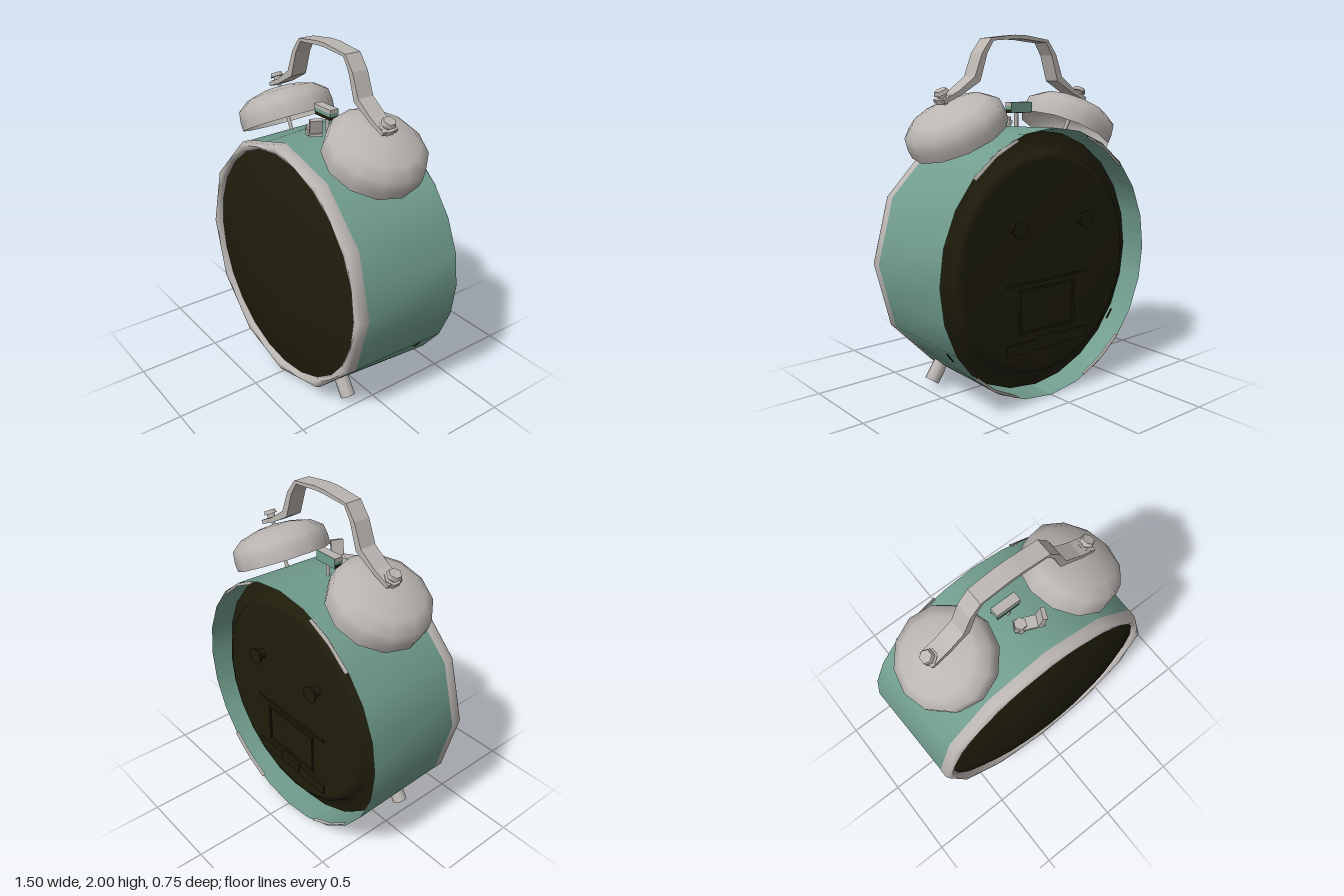
import * as THREE from 'three';

const mat = (name, color) => {
  const m = new THREE.MeshStandardMaterial({ color, side: THREE.DoubleSide });
  m.name = name;
  return m;
};

export function createModel() {
  const silver = mat('silver', 0xbab5b1);
  const teal = mat('teal', 0x719d8e);
  const dark = mat('dark', 0x1f1d0b);
  const CY = 0.755; // height of the case centre
  const root = new THREE.Group();

  const add = (parent, name, geo, material, x = 0, y = 0, z = 0) => {
    const mesh = new THREE.Mesh(geo, material);
    mesh.name = name;
    mesh.position.set(x, y, z);
    parent.add(mesh);
    return mesh;
  };
  const box = (w, h, d) => new THREE.BoxGeometry(w, h, d);
  const lathe = (pts, sides, start = 0, length = Math.PI * 2) =>
    new THREE.LatheGeometry(pts.map(([r, h]) => new THREE.Vector2(r, h)), sides, start, length);

  // Turned parts of the case: profile is [radius, z]. Profile points marked with
  // a third value become twelve-sided by pulling in every second corner.
  const turned = (name, pts, material) => {
    const geo = lathe(pts, 24);
    const pos = geo.attributes.position;
    const k = Math.cos(Math.PI / 12);
    for (let i = 0; i < pos.count; i++) {
      if (Math.floor(i / pts.length) % 2 && pts[i % pts.length][2]) {
        pos.setX(i, pos.getX(i) * k);
        pos.setZ(i, pos.getZ(i) * k);
      }
    }
    geo.rotateX(Math.PI / 2).computeVertexNormals();
    return add(root, name, geo, material, 0, CY, 0);
  };

  // Case, bezel, domed face and recessed back
  turned('case', [[0.752, -0.358], [0.737, 0.25, 1]], teal);
  turned('bezel', [[0.73, 0.225, 1], [0.74, 0.25, 1], [0.738, 0.295, 1], [0.725, 0.317, 1],
    [0.698, 0.317], [0.682, 0.303], [0.678, 0.27]], silver);
  turned('face', [[0.685, 0.284], [0.55, 0.325], [0.4, 0.353], [0.25, 0.37], [0, 0.376]], dark);
  turned('backPlate', [[0, -0.318], [0.58, -0.318], [0.62, -0.3], [0.645, -0.235], [0.732, -0.22]], dark);

  // Four narrow bright lips on the rear edge of the case
  for (const deg of [33, 147, 213, 327]) {
    const arc = lathe([[0.735, -0.35], [0.738, -0.372], [0.75, -0.35]], 2,
      THREE.MathUtils.degToRad(deg - 13), THREE.MathUtils.degToRad(26));
    add(root, 'rearLip', arc.rotateX(Math.PI / 2), silver, 0, CY, 0);
  }

  // Setting knobs and battery door on the back
  for (const s of [-1, 1]) {
    const knob = new THREE.Group();
    knob.name = 'settingKnob';
    knob.position.set(s * 0.245, 0.985, 0);
    add(knob, 'knobStem', new THREE.CylinderGeometry(0.03, 0.022, 0.04, 8).rotateX(Math.PI / 2), dark, 0, 0, -0.333);
    add(knob, 'knobCap', new THREE.CylinderGeometry(0.04, 0.052, 0.025, 8).rotateX(Math.PI / 2), dark, 0, 0, -0.362);
    root.add(knob);
    add(root, 'doorSide', box(0.012, 0.24, 0.016), dark, s * 0.2, 0.51, -0.319);
    add(root, 'doorEdge', box(0.412, 0.012, 0.016), dark, 0, 0.51 + s * 0.12, -0.319);
  }
  add(root, 'backLedgeTop', box(0.6, 0.012, 0.016), dark, 0, 0.67, -0.319);
  add(root, 'backLedgeBottom', box(0.6, 0.06, 0.02), dark, 0, 0.31, -0.319);
  add(root, 'doorLatch', box(0.16, 0.05, 0.03), dark, 0, 0.33, -0.319);

  for (const s of [-1, 1]) {
    // Bell with its post, nut and screw, tilted outwards
    const bell = new THREE.Group();
    bell.name = s > 0 ? 'leftBell' : 'rightBell';
    bell.position.set(s * 0.386 - 0.003, 1.455, -0.038);
    bell.rotation.z = -s * 0.464;
    add(bell, 'bellShell', lathe([[0.278, 0], [0.281, 0.05], [0.272, 0.115], [0.21, 0.163],
      [0.1, 0.192], [0, 0.2]], 12), silver);
    add(bell, 'bellPost', new THREE.CylinderGeometry(0.012, 0.012, 0.32, 6), silver, 0, 0.05, 0);
    add(bell, 'bellNut', new THREE.CylinderGeometry(0.045, 0.045, 0.025, 6), silver, 0, 0.228, 0);
    add(bell, 'bellScrew', new THREE.CylinderGeometry(0.025, 0.025, 0.03, 6), silver, 0, 0.25, 0);
    add(bell, 'screwHead', new THREE.CylinderGeometry(0.035, 0.042, 0.022, 6), silver, 0, 0.27, 0);
    root.add(bell);

    // Foot pointing straight out from the case
    const foot = add(root, s > 0 ? 'leftFoot' : 'rightFoot',
      new THREE.CylinderGeometry(0.043, 0.043, 0.14, 10), silver, s * 0.422, 0.106, 0.155);
    foot.rotation.z = s * 0.6;

    // Small slot in the side wall
    const slot = add(root, 'sideSlot', box(0.006, 0.065, 0.01), dark, s * 0.605, 0.329, -0.23);
    slot.rotation.z = -s * 0.654;
  }

  // Carrying handle: a bent flat strip
  const outer = [[0.52, 1.655], [0.42, 1.703], [0.318, 1.775], [0.268, 1.9], [0.205, 1.98], [0.04, 2.0]];
  const inner = [[0.03, 1.978], [0.19, 1.965], [0.235, 1.895], [0.282, 1.75], [0.41, 1.678], [0.51, 1.635]];
  const flip = (pts) => pts.map(([x, y]) => [-x, y]).reverse();
  const outline = [...outer, ...flip(outer), ...flip(inner), ...inner].map(([x, y]) => new THREE.Vector2(x, y));
  add(root, 'handle', new THREE.ExtrudeGeometry(new THREE.Shape(outline),
    { depth: 0.098, bevelEnabled: false }), silver, 0, 0, -0.088);

  // Hammer between the bells
  add(root, 'hammerTop', box(0.15, 0.022, 0.05), silver, -0.025, 1.624, -0.04);
  add(root, 'hammerMiddle', box(0.15, 0.018, 0.05), teal, -0.025, 1.604, -0.04);
  add(root, 'hammerBottom', box(0.14, 0.022, 0.046), dark, -0.025, 1.586, -0.04);
  add(root, 'hammerBack', box(0.15, 0.058, 0.006), teal, -0.025, 1.606, -0.067);
  add(root, 'hammerStem', new THREE.CylinderGeometry(0.012, 0.012, 0.12, 6), silver, -0.01, 1.53, -0.04);

  // Alarm lever
  const lever = new THREE.Group();
  lever.name = 'alarmLever';
  lever.position.set(0.03, 1.53, 0.08);
  lever.rotation.y = -0.45;
  add(lever, 'leverBase', box(0.16, 0.016, 0.07), silver).rotation.z = 0.1;
  add(lever, 'leverFin', box(0.025, 0.09, 0.07), silver, 0.065, 0.05, 0).rotation.z = -0.25;
  add(lever, 'leverPivot', new THREE.CylinderGeometry(0.035, 0.04, 0.05, 6), silver, -0.045, -0.005, 0);
  root.add(lever);

  return root;
}
